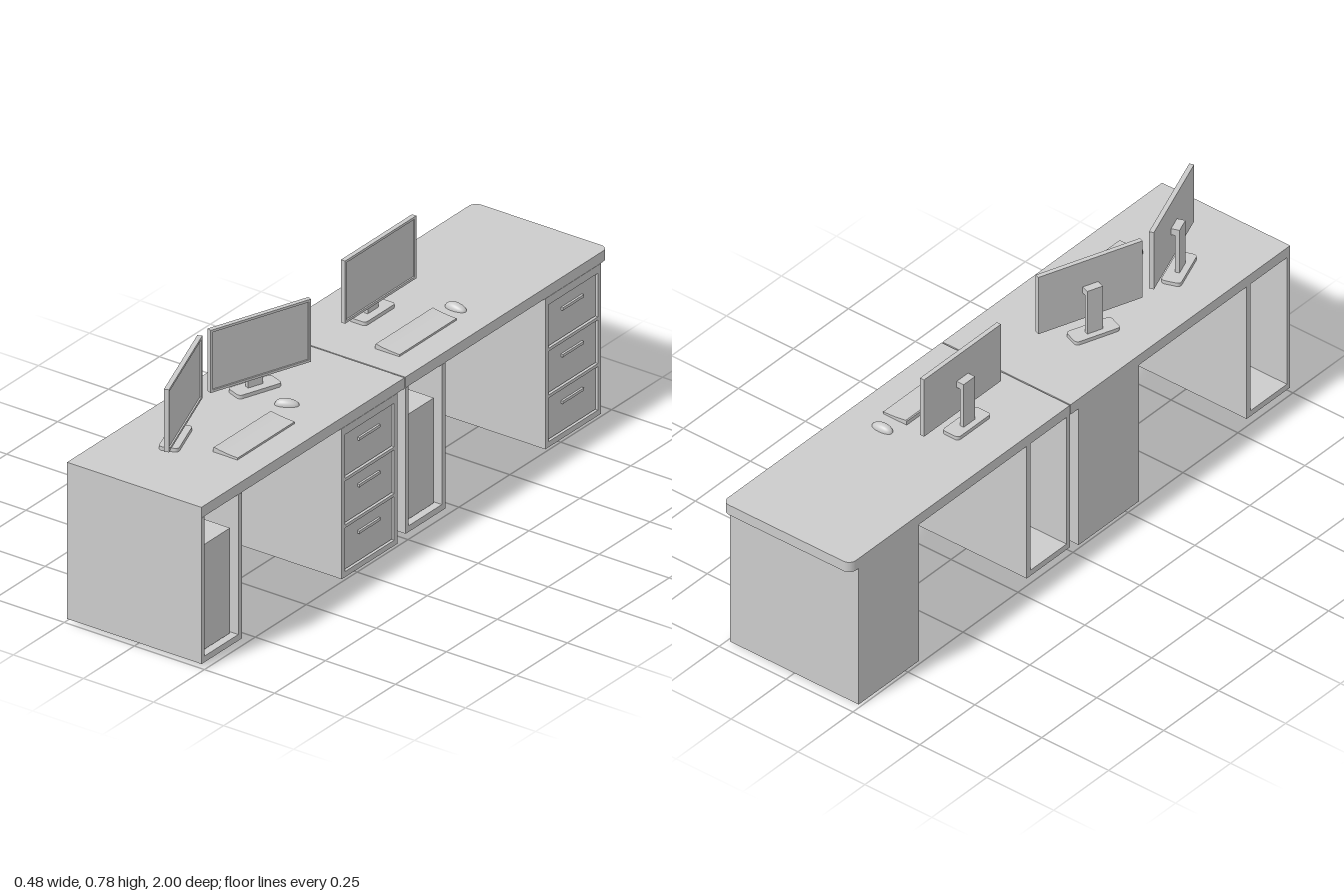
import * as THREE from 'three';

const grey = new THREE.MeshStandardMaterial({ color: 0xcccccc, side: THREE.DoubleSide });
const HALF = 0.24; // half the desk depth
const TOP = 0.525, UNDER = 0.49; // desktop surfaces

function add(parent, name, geometry) {
  const mesh = new THREE.Mesh(geometry, grey);
  mesh.name = name;
  parent.add(mesh);
  return mesh;
}

// Box given by its minimum and maximum corners
function box(parent, name, [x0, y0, z0], [x1, y1, z1]) {
  const g = new THREE.BoxGeometry(x1 - x0, y1 - y0, z1 - z0);
  g.translate((x0 + x1) / 2, (y0 + y1) / 2, (z0 + z1) / 2);
  return add(parent, name, g);
}

// Flat slab in plan: rA rounds the corners at z0, rB those at z1; top face at y
function slab(parent, name, x0, x1, z0, z1, y, h, rA, rB) {
  const s = new THREE.Shape();
  const corner = (cx, cz, r, a) => {
    if (r > 0) s.absarc(cx, cz, r, a, a + Math.PI / 2, false);
    else s.lineTo(cx, cz);
  };
  s.moveTo(x0 + rA, z0);
  corner(x1 - rA, z0 + rA, rA, -Math.PI / 2);
  corner(x1 - rB, z1 - rB, rB, 0);
  corner(x0 + rB, z1 - rB, rB, Math.PI / 2);
  corner(x0 + rA, z0 + rA, rA, Math.PI);
  s.closePath();
  const g = new THREE.ExtrudeGeometry(s, { depth: h, bevelEnabled: false, curveSegments: 6 });
  g.rotateX(Math.PI / 2);
  g.translate(0, y, 0);
  return add(parent, name, g);
}

// Rectangle path in (z, y), used for drawer openings
function rectPath(Type, z0, y0, z1, y1) {
  const p = new Type();
  p.moveTo(z0, y0);
  p.lineTo(z1, y0);
  p.lineTo(z1, y1);
  p.lineTo(z0, y1);
  p.closePath();
  return p;
}

// Drawer cabinet: thin shell open below, with three recessed drawers
function cabinet(z0, z1) {
  const g = new THREE.Group();
  g.name = 'drawerCabinet';
  const t = 0.003, front = HALF;
  box(g, 'cabinetSide', [-HALF, 0, z0], [front - 0.012, UNDER, z0 + t]);
  box(g, 'cabinetSide', [-HALF, 0, z1 - t], [front - 0.012, UNDER, z1]);
  box(g, 'cabinetBack', [-HALF, 0, z0 + t], [-HALF + t, UNDER, z1 - t]);

  const a = z0 + 0.016, b = z1 - 0.016;
  // Shape x runs along -z so that the extrusion faces +x
  const face = rectPath(THREE.Shape, -z1, 0, -z0, UNDER);
  for (let i = 0; i < 3; i++) {
    const y0 = 0.018 + i * 0.152, y1 = y0 + 0.142;
    face.holes.push(rectPath(THREE.Path, -b, y0, -a, y1));
    box(g, 'drawer', [front - 0.1, y0 + 0.003, a + 0.003], [front - 0.006, y1 - 0.003, b - 0.003]);
    const m = (a + b) / 2;
    box(g, 'drawerHandle', [front - 0.006, y0 + 0.094, m - 0.052], [front + 0.001, y0 + 0.103, m + 0.052]);
  }
  const frame = new THREE.ExtrudeGeometry(face, { depth: 0.012, bevelEnabled: false });
  frame.rotateY(Math.PI / 2);
  frame.translate(front - 0.012, 0, 0);
  add(g, 'drawerFrame', frame);
  box(g, 'cabinetFloor', [front - 0.1, 0.006, z0 + t], [front - 0.012, 0.018, z1 - t]);
  return g;
}

// Open pedestal holding a computer tower
function towerStand(z0, z1) {
  const g = new THREE.Group();
  g.name = 'towerStand';
  box(g, 'standInnerWall', [-HALF, 0.015, z0], [HALF, UNDER, z0 + 0.018]);
  box(g, 'standOuterWall', [-HALF, 0.015, z1 - 0.015], [HALF, UNDER, z1]);
  box(g, 'standFloor', [-HALF, 0.015, z0 + 0.018], [HALF, 0.035, z1 - 0.015]);
  const c = (z0 + z1) / 2 + 0.003;
  box(g, 'computerTower', [-0.1, 0.043, c - 0.066], [0.224, 0.385, c + 0.066]);
  for (const x of [-0.08, 0.17])
    for (const z of [-0.055, 0.03])
      box(g, 'towerFoot', [x, 0.035, c + z], [x + 0.035, 0.043, c + z + 0.025]);
  return g;
}

// Desk one unit long, starting at z0
function desk(z0, endRadius) {
  const g = new THREE.Group();
  g.name = 'desk';
  const gap = endRadius > 0 ? 0 : 0.002;
  slab(g, 'desktop', -HALF, HALF - 0.001, z0 + gap, z0 + 1 - (0.002 - gap), TOP, TOP - UNDER, endRadius, 0);
  g.add(cabinet(z0 + 0.038, z0 + 0.312));
  g.add(towerStand(z0 + 0.802, z0 + (gap ? 1 : 0.998)));
  return g;
}

// Monitor facing +x, turned about its screen centre
function monitor(x, z, turn) {
  const g = new THREE.Group();
  g.name = 'monitor';
  const w = 0.175, y0 = 0.576, y1 = 0.78, e = 0.008;
  box(g, 'screenPanel', [-0.007, y0, -w], [0.003, y1, w]);
  // Raised bezel around the screen
  const rim = rectPath(THREE.Shape, -w, y0, w, y1);
  rim.holes.push(rectPath(THREE.Path, -w + e, y0 + e, w - e, y1 - e));
  const bezel = new THREE.ExtrudeGeometry(rim, { depth: 0.005, bevelEnabled: false });
  bezel.rotateY(Math.PI / 2);
  bezel.translate(0.003, 0, 0);
  add(g, 'bezel', bezel);
  slab(g, 'monitorBase', -0.053, 0.008, -0.075, 0.075, 0.537, 0.012, 0.012, 0.012);
  box(g, 'monitorStem', [-0.033, 0.537, -0.026], [-0.019, 0.69, 0.026]);
  box(g, 'monitorBracket', [-0.019, 0.668, -0.026], [-0.007, 0.69, 0.026]);
  g.position.set(x, 0, z);
  g.rotation.y = turn;
  return g;
}

// Wedge keyboard, higher at the back edge
function keyboard(z0, z1) {
  const s = new THREE.Shape();
  s.moveTo(0.063, TOP);
  s.lineTo(0.15, TOP);
  s.lineTo(0.151, 0.532);
  s.quadraticCurveTo(0.105, 0.533, 0.066, 0.541);
  s.lineTo(0.063, 0.538);
  s.closePath();
  const geo = new THREE.ExtrudeGeometry(s, { depth: z1 - z0, bevelEnabled: false, curveSegments: 5 });
  geo.translate(0, 0, z0);
  const g = new THREE.Group();
  add(g, 'keyboard', geo);
  return g;
}

// Domed mouse, tallest toward its back half
function mouse(x, z, turn) {
  const geo = new THREE.SphereGeometry(1, 24, 10, 0, Math.PI * 2, 0, Math.PI / 2);
  const p = geo.attributes.position;
  for (let i = 0; i < p.count; i++) {
    const px = p.getX(i), pz = p.getZ(i);
    const soft = (v) => Math.sign(v) * Math.pow(Math.abs(v), 0.85);
    p.setXYZ(i, px * 0.036, p.getY(i) * 0.019 * (1 - 0.15 * px), soft(pz) * 0.018);
  }
  geo.computeVertexNormals();
  const g = new THREE.Group();
  add(g, 'mouse', geo);
  g.position.set(x, TOP, z);
  g.rotation.y = turn;
  return g;
}

export function createModel() {
  const model = new THREE.Group();
  model.name = 'doubleWorkstation';
  model.add(desk(0, 0), desk(-1, 0.026));
  const tilt = THREE.MathUtils.degToRad(20);
  model.add(monitor(-0.048, 0.32, -tilt), monitor(-0.048, 0.695, tilt), monitor(-0.048, -0.265, 0));
  model.add(keyboard(0.42, 0.7), keyboard(-0.375, -0.095));
  model.add(mouse(0.063, 0.337, 0.52), mouse(0.106, -0.433, 0));
  return model;
}
